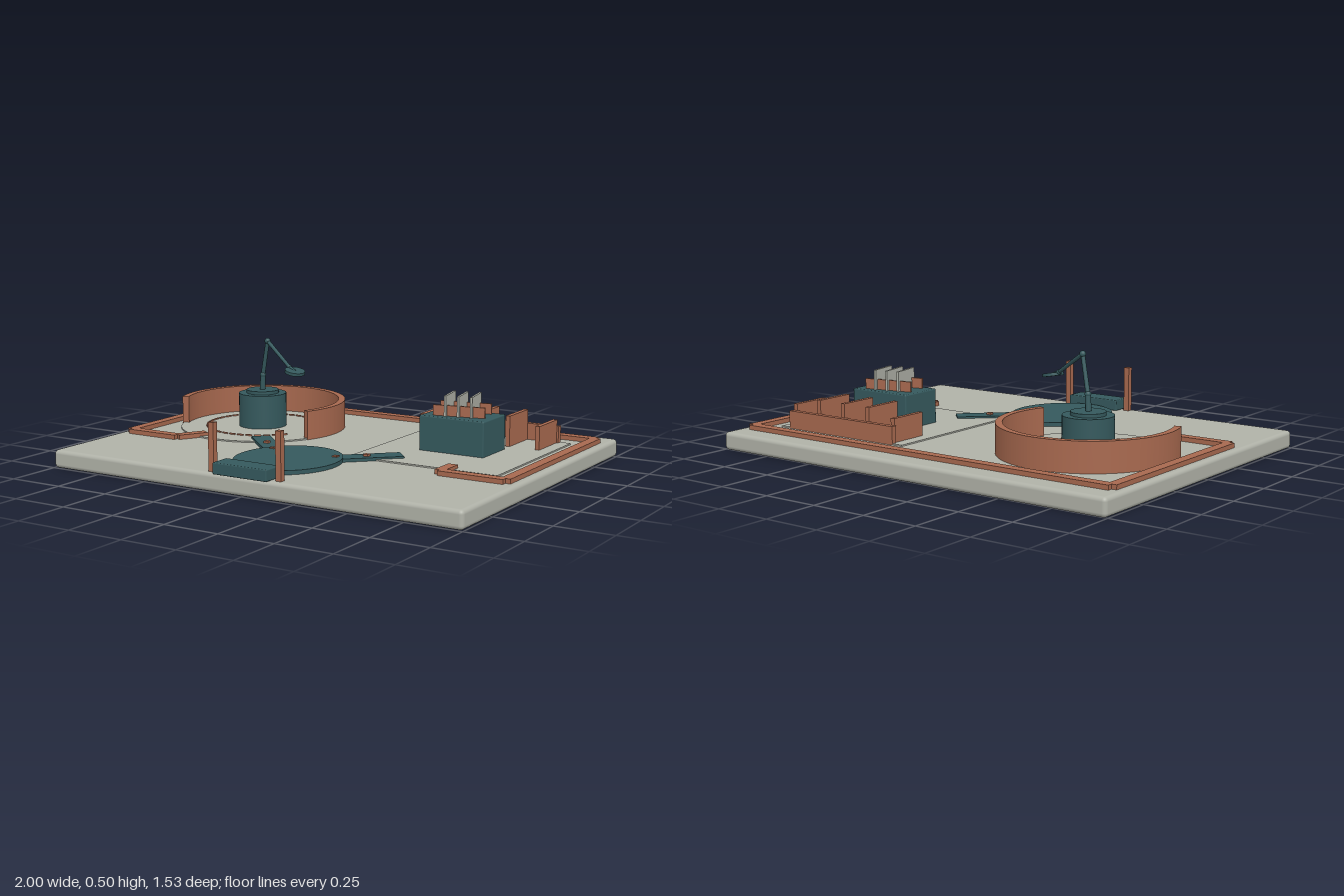
import * as THREE from 'three';
import { RoundedBoxGeometry } from 'three/addons/geometries/RoundedBoxGeometry.js';

const mat = (name, color) => {
  const m = new THREE.MeshStandardMaterial({ color });
  m.name = name;
  return m;
};

export function createModel() {
  const stone = mat('stone grey', 0xb0b2a8);
  const clay = mat('terracotta', 0xa8694f);
  const teal = mat('dark teal', 0x35595d);
  const root = new THREE.Group();
  root.name = 'roomDiorama';
  const floor = 0.08;

  const add = (name, geo, material, x = 0, y = 0, z = 0, parent = root) => {
    const m = new THREE.Mesh(geo, material);
    m.name = name;
    m.position.set(x, y, z);
    parent.add(m);
    return m;
  };
  // box given by its extents
  const box = (name, material, x0, x1, y0, y1, z0, z1, parent = root) =>
    add(name, new THREE.BoxGeometry(x1 - x0, y1 - y0, z1 - z0), material,
      (x0 + x1) / 2, (y0 + y1) / 2, (z0 + z1) / 2, parent);
  // flat bar laid between two plan points
  const bar = (name, material, [ax, az], [bx, bz], width, y0, y1, parent = root) => {
    const m = add(name, new THREE.BoxGeometry(Math.hypot(bx - ax, bz - az), y1 - y0, width), material,
      (ax + bx) / 2, (y0 + y1) / 2, (az + bz) / 2, parent);
    m.rotation.y = -Math.atan2(bz - az, bx - ax);
    return m;
  };
  // upright ring segment, angles in degrees counted from +x towards the back
  const ringSegment = (inner, outer, a0, a1, height, steps) => {
    const r = Math.PI / 180;
    const s = new THREE.Shape();
    s.absarc(0, 0, outer, a0 * r, a1 * r, false);
    s.absarc(0, 0, inner, a1 * r, a0 * r, true);
    return new THREE.ExtrudeGeometry(s, { depth: height, bevelEnabled: false, curveSegments: steps })
      .rotateX(-Math.PI / 2);
  };

  // base slab
  add('baseSlab', new RoundedBoxGeometry(2, 0.08, 1.515, 3, 0.018), stone, 0, 0.04, -0.0075);

  // low kerb around the room
  const kerb = new THREE.Group();
  kerb.name = 'kerb';
  root.add(kerb);
  const path = [[-0.615, 0.16], [-0.685, 0.28], [-0.945, 0.28], [-0.945, -0.64],
    [0.945, -0.64], [0.945, 0.28], [0.65, 0.28], [0.65, 0.16]];
  for (let i = 0; i < path.length - 1; i++)
    bar('kerbRail', clay, path[i], path[i + 1], 0.045, floor, 0.1, kerb);

  // round work area with curved wall and dashed floor ring
  const round = new THREE.Group();
  round.name = 'roundArea';
  round.position.set(-0.525, 0, -0.165);
  root.add(round);
  add('roundFloor', new THREE.CylinderGeometry(0.38, 0.38, 0.006, 64), stone, 0, floor + 0.003, 0, round);
  add('curvedWall', ringSegment(0.355, 0.385, -24, 203, 0.13, 48), clay, 0, floor, 0, round);
  for (let a = 8; a < 329; a += 9)
    add('floorDash', ringSegment(0.257, 0.263, a, a + 6.5, 0.006, 3), clay, 0, floor + 0.006, 0, round);
  add('pedestal', new THREE.CylinderGeometry(0.11, 0.11, 0.16, 40), teal, 0, 0.16, 0, round);
  add('turntable', new THREE.CylinderGeometry(0.075, 0.075, 0.015, 40), teal, 0, 0.2475, 0, round);

  // jointed arm with a tilted disc head
  const arm = new THREE.Group();
  arm.name = 'arm';
  round.add(arm);
  const V = (x, y, z) => new THREE.Vector3(x, y, z);
  const up = V(0, 1, 0);
  const foot = V(0, 0.255, 0), knee = V(0.005, 0.325, 0.003);
  const elbow = V(0.042, 0.487, 0.017), wrist = V(0.2, 0.388, 0.076), head = V(0.242, 0.371, 0.092);
  const rod = (name, a, b, ra, rb) => {
    const d = b.clone().sub(a);
    const c = a.clone().add(b).multiplyScalar(0.5);
    const m = add(name, new THREE.CylinderGeometry(rb, ra, d.length(), 12), teal, c.x, c.y, c.z, arm);
    m.quaternion.setFromUnitVectors(up, d.normalize());
  };
  rod('armFoot', foot, knee, 0.013, 0.012);
  rod('lowerArm', knee, elbow, 0.01, 0.009);
  rod('upperArm', elbow, wrist, 0.009, 0.008);
  rod('wristLink', wrist, head, 0.008, 0.008);
  for (const [p, r] of [[knee, 0.014], [elbow, 0.014], [wrist, 0.011]])
    add('armJoint', new THREE.SphereGeometry(r, 16, 12), teal, p.x, p.y, p.z, arm);
  const disc = add('armHead', new THREE.CylinderGeometry(0.046, 0.046, 0.014, 28), teal,
    head.x, head.y, head.z, arm);
  disc.quaternion.setFromUnitVectors(up, V(0.2, 1, 0.08).normalize());

  // square work area
  box('squareFloor', stone, 0.17, 0.87, floor, floor + 0.006, -0.535, 0.2);

  // storage bays
  const bays = new THREE.Group();
  bays.name = 'storageBays';
  root.add(bays);
  box('bayBack', clay, 0.22, 0.82, floor, 0.16, -0.537, -0.512, bays);
  for (let i = 0; i < 5; i++) {
    const x = 0.236 + i * 0.1415;
    box('bayDivider', clay, x - 0.01, x + 0.01, floor, i % 4 ? 0.222 : 0.19, -0.515, -0.328, bays);
  }

  // bench with a tilted plate rack
  add('bench', new RoundedBoxGeometry(0.31, 0.16, 0.212, 2, 0.006), teal, 0.52, 0.16, -0.169);
  const rack = new THREE.Group();
  rack.name = 'plateRack';
  rack.position.set(0.52, 0.24, -0.17);
  rack.rotation.y = 0.19;
  root.add(rack);
  for (const s of [-1, 1])
    box('rackRail', clay, -0.115, 0.115, 0, 0.046, s * 0.053 - 0.005, s * 0.053 + 0.005, rack);
  for (const x of [-0.058, 0, 0.058])
    box('rackPlate', stone, x - 0.005, x + 0.005, 0, 0.09, -0.072, 0.072, rack);

  // oval hub with two branching ramps
  const hub = add('ovalHub', new THREE.CylinderGeometry(1, 1, 0.018, 64), teal, 0, 0.089, 0.41);
  hub.scale.set(0.224, 1, 0.25);
  box('hubNeck', teal, -0.05, 0.05, floor, 0.095, 0.63, 0.68);
  for (const s of [-1, 1]) {
    bar('ramp', teal, [s * 0.1, 0.335], [s * 0.365, 0.085], 0.085, floor, 0.094);
    for (const [x, z] of [[0.16, 0.288], [0.255, 0.193]])
      box('rampPeg', clay, s * x - 0.011, s * x + 0.011, 0.085, 0.103, z - 0.011, z + 0.011);
    // entrance posts
    box('entrancePost', clay, s * 0.165 - 0.013, s * 0.165 + 0.013, floor, 0.285, 0.702, 0.728);
  }

  // entrance step
  add('entranceStep', new RoundedBoxGeometry(0.265, 0.05, 0.098, 2, 0.005), teal, 0, 0.105, 0.716);

  return root;
}
